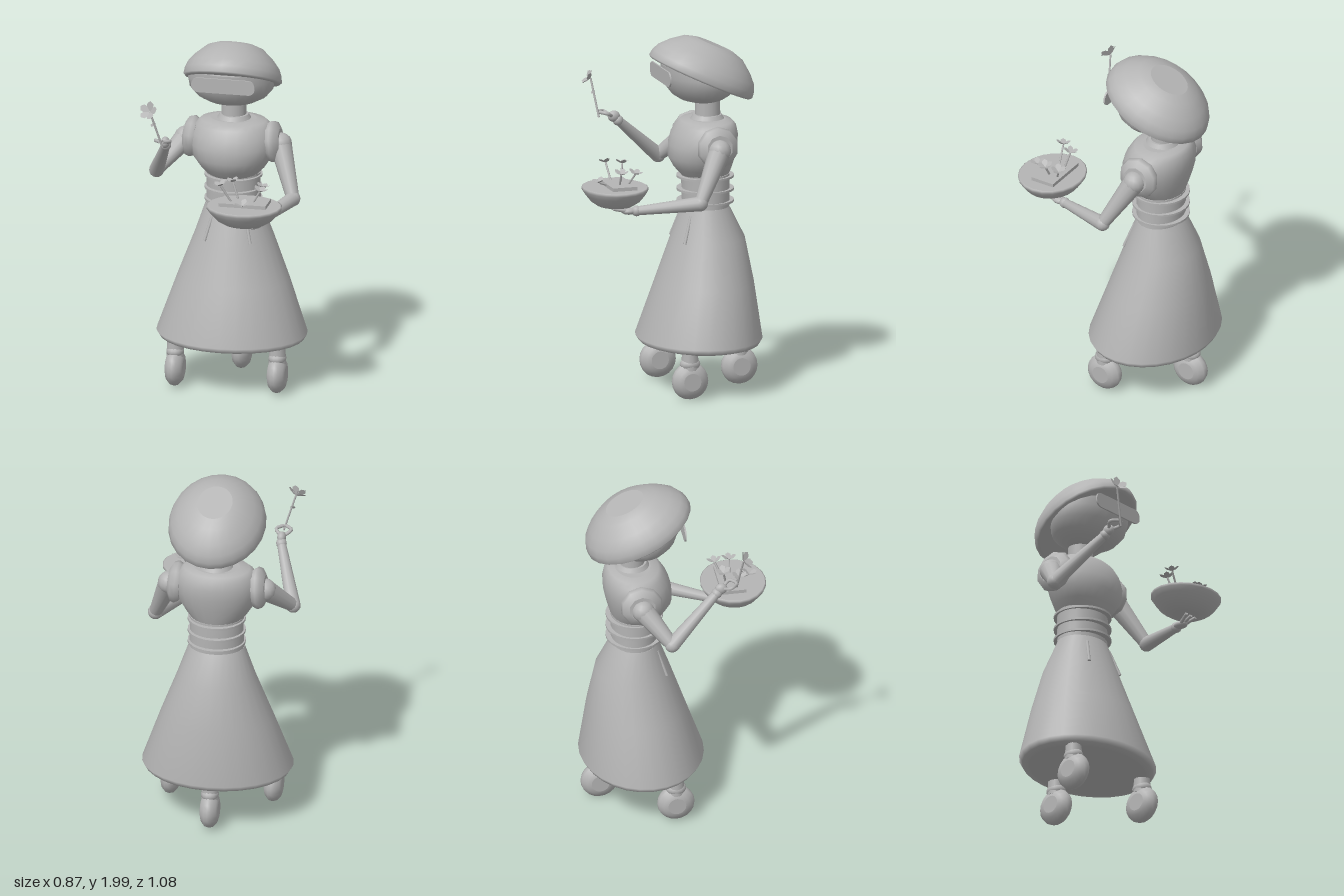
import * as THREE from 'three';

const grey = new THREE.MeshStandardMaterial({ color: 0xb4b4b4, side: THREE.DoubleSide });
grey.name = 'plain grey';
const V = (x, y, z) => new THREE.Vector3(x, y, z);
const UP = V(0, 1, 0);

function add(parent, name, geometry, pos) {
  const mesh = new THREE.Mesh(geometry, grey);
  mesh.name = name;
  if (pos) mesh.position.copy(pos);
  parent.add(mesh);
  return mesh;
}

// Smooth closed body from elliptical rings, bottom to top: [y, half width, front z, back z]
function loft(rings, sides = 24, cx = 0) {
  const pos = [], index = [];
  const ring = ([y, rx, zf, zb]) => {
    const start = pos.length / 3;
    for (let i = 0; i < sides; i++) {
      const a = (i / sides) * Math.PI * 2;
      pos.push(cx + Math.cos(a) * rx, y, (zf + zb) / 2 + (Math.sin(a) * (zf - zb)) / 2);
    }
    return start;
  };
  const starts = rings.map(ring);
  for (let j = 0; j < rings.length - 1; j++) {
    for (let i = 0; i < sides; i++) {
      const k = (i + 1) % sides;
      const a = starts[j] + i, b = starts[j] + k, c = starts[j + 1] + i, d = starts[j + 1] + k;
      index.push(a, c, b, b, c, d);
    }
  }
  // flat end caps
  [rings[0], rings[rings.length - 1]].forEach((r, top) => {
    const s = ring(r), centre = pos.length / 3;
    pos.push(cx, r[0], (r[2] + r[3]) / 2);
    for (let i = 0; i < sides; i++) {
      const k = (i + 1) % sides;
      index.push(centre, s + (top ? k : i), s + (top ? i : k));
    }
  });
  const g = new THREE.BufferGeometry();
  g.setAttribute('position', new THREE.Float32BufferAttribute(pos, 3));
  g.setIndex(index);
  g.computeVertexNormals();
  return g;
}
// Round version: [y, radius]
const turned = (profile, sides) => loft(profile.map(([y, r]) => [y, r, r, -r]), sides);

// Tapered rod between two points
function rod(parent, name, a, b, ra, rb = ra, sides = 12) {
  const dir = b.clone().sub(a);
  const m = add(parent, name, new THREE.CylinderGeometry(rb, ra, dir.length(), sides), a.clone().lerp(b, 0.5));
  m.quaternion.setFromUnitVectors(UP, dir.normalize());
  return m;
}
function ball(parent, name, p, rx, ry = rx, rz = rx) {
  const m = add(parent, name, new THREE.SphereGeometry(1, 14, 10), p);
  m.scale.set(rx, ry, rz);
  return m;
}

// Five cupped petals on a stem
function flower(parent, base, head, facing, size) {
  const g = new THREE.Group();
  g.name = 'flower';
  parent.add(g);
  rod(g, 'stem', base, head, 0.006, 0.006, 6);
  const bloom = new THREE.Group();
  bloom.name = 'bloom';
  bloom.position.copy(head);
  bloom.quaternion.setFromUnitVectors(UP, facing.clone().normalize());
  g.add(bloom);
  const petal = new THREE.CircleGeometry(size * 0.5, 6);
  petal.scale(1, 0.75, 1);
  petal.rotateX(-Math.PI / 2);
  petal.translate(size * 0.55, 0, 0);
  petal.rotateZ(0.5);
  for (let i = 0; i < 5; i++) add(bloom, 'petal', petal).rotation.y = (i * Math.PI * 2) / 5;
  return g;
}

function arm(parent, name, shoulder, elbow, wrist) {
  const g = new THREE.Group();
  g.name = name;
  parent.add(g);
  rod(g, 'upperArm', shoulder, elbow, 0.062, 0.036);
  ball(g, 'shoulderJoint', shoulder, 0.064);
  ball(g, 'elbow', elbow, 0.042);
  rod(g, 'forearm', elbow, wrist, 0.042, 0.025);
  ball(g, 'wrist', wrist, 0.03);
  return g;
}

export function createModel() {
  const model = new THREE.Group();
  model.name = 'robotFlowerMaid';

  // Wheels and their stubs: two in front, one behind
  const wheel = turned([[-0.05, 0.05], [-0.043, 0.075], [-0.02, 0.1], [0, 0.105], [0.02, 0.1], [0.043, 0.075], [0.05, 0.05]], 20);
  for (const [x, z] of [[-0.285, -0.045], [0.295, -0.045], [0.008, -0.425]]) {
    add(model, 'wheel', wheel, V(x, 0.105, z)).rotation.z = Math.PI / 2;
    rod(model, 'wheelStub', V(x, 0.17, z), V(x, 0.27, z), 0.05, 0.045);
    ball(model, 'wheelSocket', V(x, 0.2, z), 0.05, 0.04, 0.058);
  }

  // Bell skirt
  add(model, 'skirt', loft([
    [0.255, 0.37, 0.1, -0.48], [0.265, 0.405, 0.135, -0.52], [0.295, 0.423, 0.155, -0.537],
    [0.6, 0.315, 0.05, -0.495], [0.85, 0.22, -0.035, -0.447], [1.03, 0.156, -0.1, -0.357],
  ], 28, 0.004));
  for (const s of [-1, 1]) rod(model, 'skirtTie', V(0.005 + s * 0.092, 0.99, -0.115), V(0.005 + s * 0.13, 0.845, -0.068), 0.009, 0.009, 8);

  // Waist with three bands
  add(model, 'waist', loft([[1.03, 0.154, -0.1, -0.36], [1.12, 0.15, -0.098, -0.362], [1.215, 0.152, -0.095, -0.362]], 24, 0.004));
  for (const y of [1.058, 1.125, 1.198])
    add(model, 'waistBand', loft([[y - 0.006, 0.162, -0.068, -0.388], [y + 0.006, 0.162, -0.068, -0.388]], 24, 0.004));

  // Torso, collar and neck
  add(model, 'torso', loft([
    [1.205, 0.14, -0.095, -0.357], [1.25, 0.18, -0.055, -0.372], [1.31, 0.22, -0.022, -0.388],
    [1.38, 0.238, -0.025, -0.403], [1.44, 0.234, -0.042, -0.405], [1.49, 0.212, -0.072, -0.395],
    [1.513, 0.185, -0.095, -0.375], [1.522, 0.13, -0.14, -0.34],
  ], 24, 0.002));
  add(model, 'collar', new THREE.CylinderGeometry(0.08, 0.098, 0.03, 20), V(0.005, 1.53, -0.24));
  add(model, 'neck', new THREE.CylinderGeometry(0.068, 0.07, 0.16, 20), V(0.003, 1.61, -0.243));

  // Head bowl and visor plate
  add(model, 'head', loft([
    [1.625, 0.09, -0.13, -0.3], [1.64, 0.14, -0.085, -0.33], [1.67, 0.195, -0.04, -0.37],
    [1.72, 0.236, -0.002, -0.39], [1.78, 0.24, 0.016, -0.36], [1.84, 0.22, 0.018, -0.3],
  ], 24, 0.002));
  const w = 0.18, h = 0.042, r = 0.038;
  const plate = new THREE.Shape();
  plate.absarc(w - r, h - r, r, 0, Math.PI / 2);
  plate.absarc(r - w, h - r, r, Math.PI / 2, Math.PI);
  plate.absarc(r - w, r - h, r, Math.PI, Math.PI * 1.5);
  plate.absarc(w - r, r - h, r, Math.PI * 1.5, Math.PI * 2);
  add(model, 'visor', new THREE.ExtrudeGeometry(plate, { depth: 0.009, bevelEnabled: false, curveSegments: 5 }), V(0.003, 1.788, 0.026));

  // Tilted dome hat
  const hat = add(model, 'hat', turned([
    [-0.006, 0.285], [-0.006, 0.305], [0.004, 0.317], [0.04, 0.312], [0.08, 0.293],
    [0.125, 0.25], [0.178, 0.18], [0.197, 0.115],
  ], 24), V(0.005, 1.757, -0.2));
  hat.scale.x = 0.857;
  hat.rotation.x = -0.436;

  // Shoulder pads
  const pad = turned([[-0.035, 0.105], [-0.01, 0.12], [0.015, 0.112], [0.035, 0.075]], 10);
  for (const s of [-1, 1]) add(model, 'shoulderPad', pad, V(s * 0.238, 1.4, -0.228)).rotation.z = -s * 1.5;

  // Left arm, palm up under the bowl
  const left = arm(model, 'leftArm', V(0.272, 1.39, -0.225), V(0.375, 1.125, -0.08), V(0.245, 1.08, 0.25));
  ball(left, 'palm', V(0.235, 1.08, 0.29), 0.032, 0.02, 0.045);
  for (const dx of [-0.03, -0.005, 0.02])
    rod(left, 'finger', V(0.235 + dx * 0.6, 1.083, 0.31), V(0.22 + dx * 1.5, 1.1, 0.385), 0.011, 0.009, 8);

  // Right arm, raised and pinching a flower
  const right = arm(model, 'rightArm', V(-0.266, 1.39, -0.225), V(-0.4, 1.235, -0.085), V(-0.287, 1.475, 0.185));
  ball(right, 'palm', V(-0.284, 1.5, 0.21), 0.025, 0.032, 0.035);
  for (const s of [-1, 1]) {
    const curve = new THREE.CatmullRomCurve3([
      V(-0.285 + s * 0.012, 1.505, 0.225), V(-0.287 + s * 0.042, 1.525, 0.26), V(-0.288 + s * 0.008, 1.53, 0.295),
    ]);
    add(right, 'finger', new THREE.TubeGeometry(curve, 8, 0.01, 8));
  }
  const held = flower(model, V(-0.28, 1.5, 0.298), V(-0.345, 1.71, 0.325), V(-0.25, 0.55, 0.8), 0.06);
  const leaf = add(held, 'leaf', new THREE.CircleGeometry(0.018, 5), V(-0.328, 1.635, 0.318));
  leaf.scale.y = 0.6;
  leaf.rotation.set(-0.5, 0.4, 0.6);

  // Bowl with a raised bed of flowers
  const bowl = add(model, 'bowl', turned([
    [0, 0.08], [0.008, 0.115], [0.035, 0.16], [0.07, 0.192], [0.095, 0.21], [0.108, 0.212], [0.112, 0.205],
  ], 20), V(0.198, 1.105, 0.36));
  bowl.scale.z = 0.865;
  add(model, 'flowerBed', new THREE.BoxGeometry(0.265, 0.03, 0.14), V(0.198, 1.222, 0.343));
  const blooms = [
    [0.12, 1.325, 0.293], [0.28, 1.295, 0.27], [0.285, 1.3, 0.352], [0.068, 1.325, 0.372], [0.205, 1.245, 0.452],
  ];
  for (const [x, y, z] of blooms) {
    const base = V(0.198 + (x - 0.198) * 0.55, 1.23, 0.343 + (z - 0.343) * 0.6);
    flower(model, base, V(x, y, z), V((x - 0.198) * 2, 1, (z - 0.343) * 2), 0.046);
  }
  return model;
}
